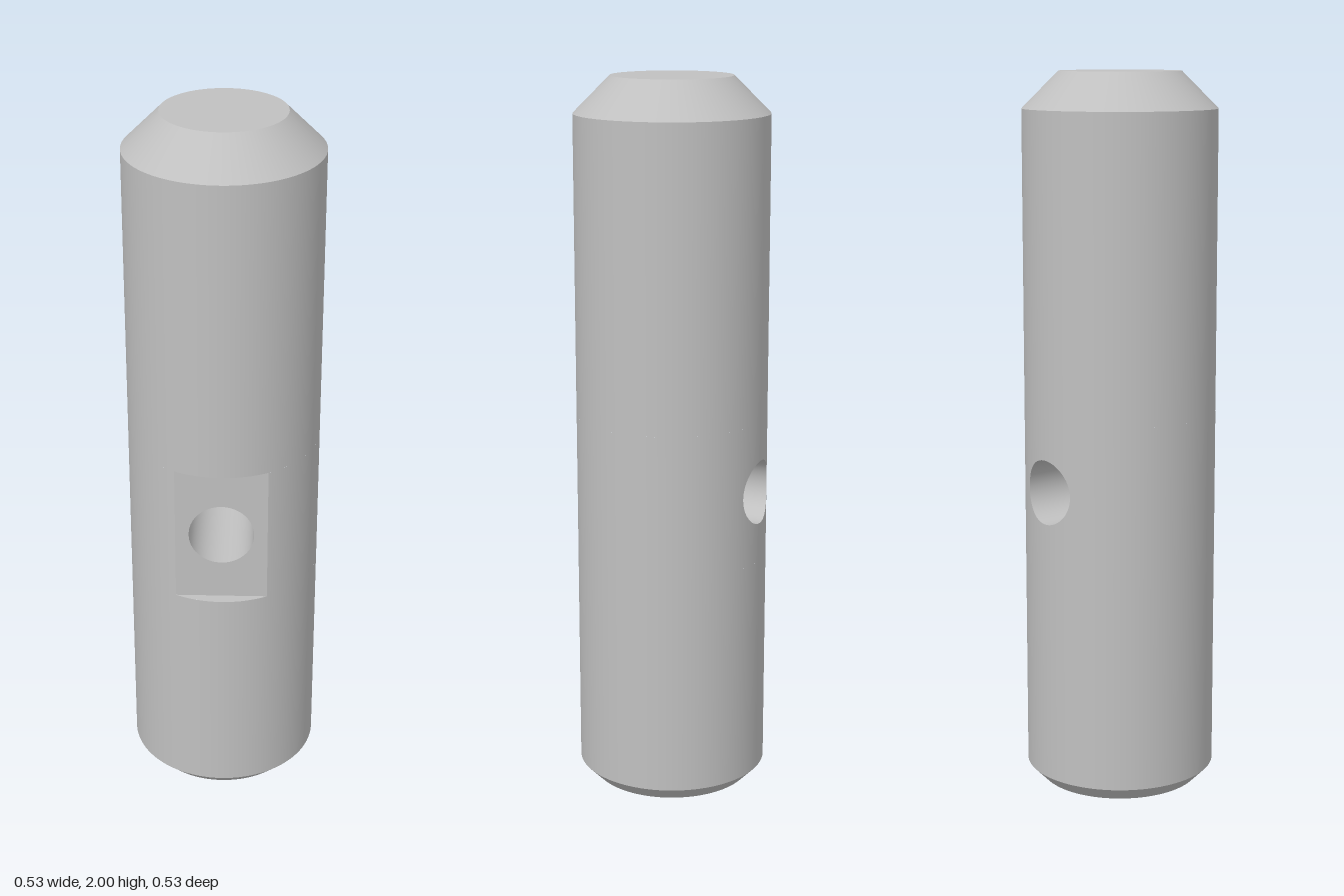
import * as THREE from 'three';

const R = 0.267;               // pin radius
const FLAT = 0.235;            // z of the flat seat
const W = Math.sqrt(R * R - FLAT * FLAT); // half width of the seat
const Y0 = 0.67, Y1 = 1.07, YC = (Y0 + Y1) / 2, H = (Y1 - Y0) / 2;
const HOLE = 0.09;
const SEG = 96;

const frontZ = () => FLAT;
const backZ = (x) => -Math.sqrt(R * R - x * x);

// Surface from a grid of points given by at(i, j); normal(x, y, z) sets smooth shading
function gridSurface(rows, cols, at, normal, flip) {
  const pos = [], nor = [], idx = [];
  for (let i = 0; i <= rows; i++) {
    for (let j = 0; j <= cols; j++) {
      const p = at(i, j);
      pos.push(...p);
      nor.push(...normal(...p));
      if (i < rows && j < cols) {
        const a = i * (cols + 1) + j, b = a + 1, c = a + cols + 1, d = c + 1;
        if (flip) idx.push(a, b, c, b, d, c);
        else idx.push(a, c, b, b, c, d);
      }
    }
  }
  const g = new THREE.BufferGeometry();
  g.setAttribute('position', new THREE.Float32BufferAttribute(pos, 3));
  g.setAttribute('normal', new THREE.Float32BufferAttribute(nor, 3));
  g.setIndex(idx);
  return g;
}

// Points round the rectangular patch, counter-clockwise, corners included
const N = 16;
const rim = [];
[[W, -H], [W, H], [-W, H], [-W, -H]].forEach((p, k, all) => {
  const q = all[(k + 1) % 4];
  for (let i = 0; i < N; i++) {
    rim.push([p[0] + (q[0] - p[0]) * i / N, p[1] + (q[1] - p[1]) * i / N]);
  }
});
rim.push(rim[0]);
const holeEdge = rim.map(([x, y]) => {
  const l = Math.hypot(x, y);
  return [x / l * HOLE, y / l * HOLE];
});

export function createModel() {
  const group = new THREE.Group();
  const steel = new THREE.MeshStandardMaterial({ color: 0xc0c0c0 });
  steel.name = 'steel grey';

  const add = (name, geometry) => {
    const mesh = new THREE.Mesh(geometry, steel);
    mesh.name = name;
    group.add(mesh);
    return mesh;
  };
  const ring = (name, rTop, rBottom, y0, y1, start = 0, length = Math.PI * 2) => {
    const g = new THREE.CylinderGeometry(rTop, rBottom, y1 - y0, SEG, 1, true, start, length);
    add(name, g).position.y = (y0 + y1) / 2;
  };
  const disc = (name, r, y, up) => {
    const mesh = add(name, new THREE.CircleGeometry(r, SEG));
    mesh.rotation.x = up ? -Math.PI / 2 : Math.PI / 2;
    mesh.position.y = y;
  };

  // Turned outer surface and end faces
  disc('bottomFace', 0.226, 0, false);
  ring('bottomChamfer', R, 0.226, 0, 0.042);
  ring('lowerBarrel', R, R, 0.042, Y0);
  ring('upperBarrel', R, R, Y1, 1.9);
  ring('topChamfer', 0.167, R, 1.9, 2);
  disc('topFace', 0.167, 2, true);

  // Side walls between the seat and the back patch
  const a = Math.asin(W / R);
  ring('leftWall', R, R, Y0, Y1, a, Math.PI - 2 * a);
  ring('rightWall', R, R, Y0, Y1, Math.PI + a, Math.PI - 2 * a);

  // Flat seat and curved back patch, each pierced by the hole
  const patch = (name, z, normal, flip) => add(name, gridSurface(6, rim.length - 1, (i, j) => {
    const t = i / 6;
    const x = holeEdge[j][0] * (1 - t) + rim[j][0] * t;
    const y = holeEdge[j][1] * (1 - t) + rim[j][1] * t;
    return [x, YC + y, z(x)];
  }, normal, flip));
  patch('flatSeat', frontZ, () => [0, 0, 1], false);
  patch('backPatch', backZ, (x, y, z) => [x / R, 0, z / R], true);

  // Bore through the pin
  add('crossHole', gridSurface(1, rim.length - 1, (i, j) => {
    const [x, y] = holeEdge[j];
    return [x, YC + y, i ? frontZ(x) : backZ(x)];
  }, (x, y) => [-x / HOLE, (YC - y) / HOLE, 0], false));

  // Crescent ledges at the ends of the seat
  const ledge = (name, y, up) => add(name, gridSurface(1, 24, (i, j) => {
    const s = -a + 2 * a * j / 24;
    return [R * Math.sin(s), y, i ? R * Math.cos(s) : FLAT];
  }, () => [0, up ? 1 : -1, 0], !up));
  ledge('lowerLedge', Y0, true);
  ledge('upperLedge', Y1, false);

  return group;
}
